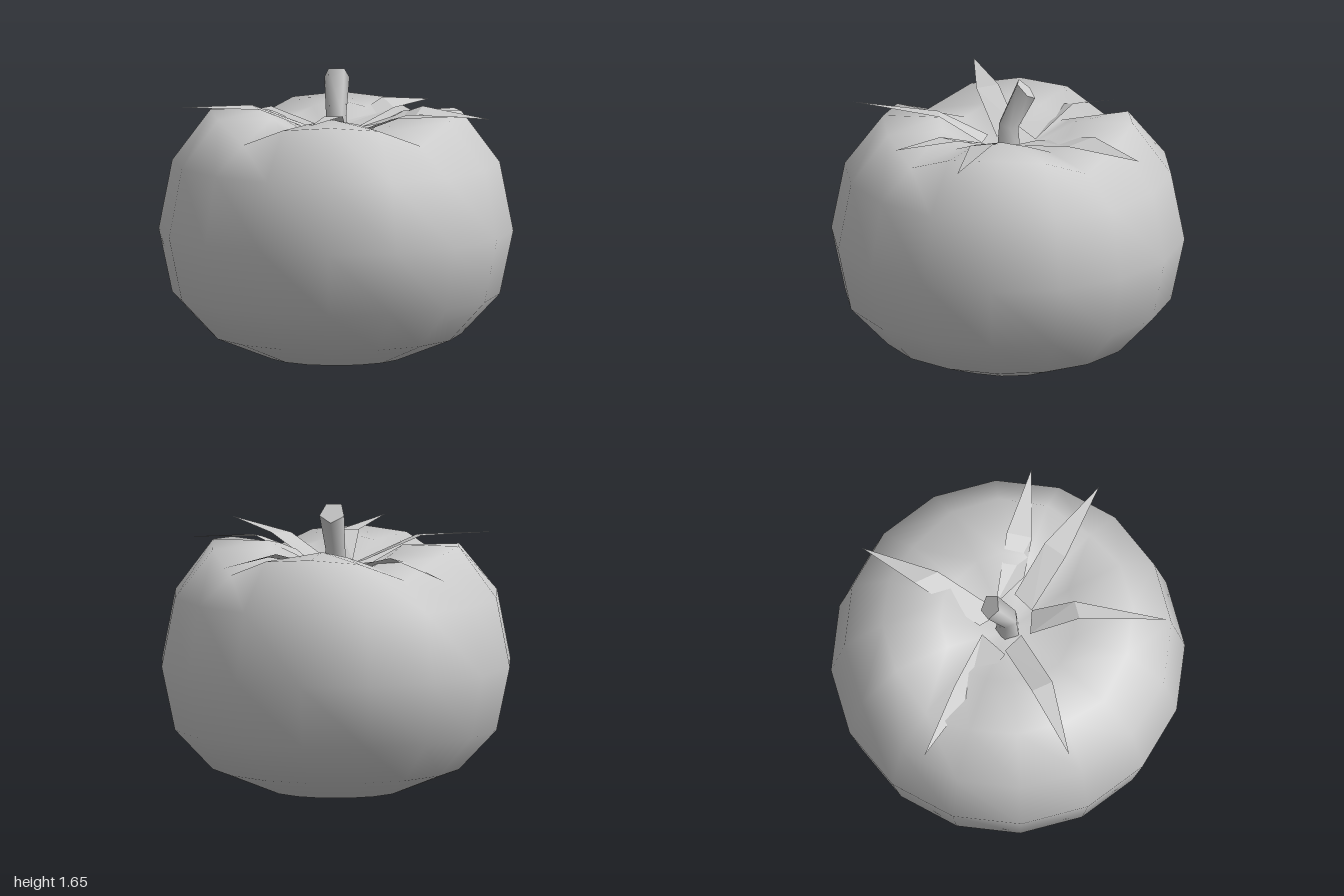
import * as THREE from 'three';
import { mergeVertices } from 'three/addons/utils/BufferGeometryUtils.js';

const mat = new THREE.MeshStandardMaterial({ color: 0xcccccc });
const leafMat = new THREE.MeshStandardMaterial({ color: 0xcccccc, side: THREE.DoubleSide, flatShading: true });

// Share vertices across seams so the shading is smooth
function smooth(geo) {
  geo.deleteAttribute('uv');
  geo.deleteAttribute('normal');
  const merged = mergeVertices(geo, 1e-4);
  merged.computeVertexNormals();
  return merged;
}

// Round fruit: low-poly sphere with ring heights, four lobes and a dimple on top
function makeBody() {
  const heights = [1.2, 1.43, 1.43, 1.14, 0.75, 0.39, 0.16, 0.03, 0.005];
  const geo = new THREE.SphereGeometry(1, 16, 8);
  const p = geo.attributes.position;
  for (let i = 0; i < p.count; i++) {
    const ring = Math.floor(i / 17);
    const s = Math.abs(Math.sin(2 * Math.atan2(p.getZ(i), p.getX(i))));
    let y = heights[ring];
    if (ring === 1) y -= 0.09 * s ** 3;
    if (ring === 2) y -= 0.13 * s ** 5;
    p.setY(i, y);
  }
  return new THREE.Mesh(smooth(geo), mat);
}

// Five-sided stem, bending backwards, with a flat cut end
function makeStem() {
  const rings = [ // y, z, radius, tilt
    [1.18, 0.0, 0.075, 0], [1.4, 0.0, 0.06, 0.25], [1.615, -0.1, 0.075, 0.78],
  ];
  const at = ([y, z, r, tilt], k) => {
    const a = (k / 5) * Math.PI * 2;
    const v = -r * Math.cos(a);
    return new THREE.Vector3(r * Math.sin(a), y + v * Math.sin(tilt), z + v * Math.cos(tilt));
  };
  const sides = [];
  for (let j = 0; j < 2; j++) {
    for (let k = 0; k < 5; k++) {
      const a = at(rings[j], k), b = at(rings[j], k + 1);
      const c = at(rings[j + 1], k + 1), d = at(rings[j + 1], k);
      sides.push(a, c, b, a, d, c);
    }
  }
  const cap = [];
  for (let k = 1; k < 4; k++) cap.push(at(rings[2], 0), at(rings[2], k + 1), at(rings[2], k));
  const group = new THREE.Group();
  const side = mergeVertices(new THREE.BufferGeometry().setFromPoints(sides), 1e-4);
  side.computeVertexNormals();
  const end = new THREE.BufferGeometry().setFromPoints(cap);
  end.computeVertexNormals();
  const sideMesh = new THREE.Mesh(side, mat);
  sideMesh.name = 'stemSide';
  const endMesh = new THREE.Mesh(end, mat);
  endMesh.name = 'stemEnd';
  group.add(sideMesh, endMesh);
  return group;
}

// Leaf blade: two base, two middle corners and a tip
function makeLeaf(points) {
  const geo = new THREE.BufferGeometry().setFromPoints(points.map((q) => new THREE.Vector3(...q)));
  geo.setIndex([0, 1, 3, 0, 3, 2, 2, 3, 4]);
  geo.computeVertexNormals();
  return new THREE.Mesh(geo, leafMat);
}

const leaves = [
  [[0.0, 1.31, -0.16], [0.07, 1.3, -0.03], [0.24, 1.43, -0.51], [0.31, 1.39, -0.37], [0.49, 1.38, -0.79]],
  [[-0.05, 1.3, -0.15], [-0.19, 1.33, -0.03], [-0.38, 1.4, -0.33], [-0.46, 1.37, -0.27], [-0.75, 1.3, -0.53]],
  [[-0.17, 1.34, -0.03], [-0.07, 1.3, 0.07], [-0.47, 1.47, 0.1], [-0.42, 1.46, 0.22], [-0.87, 1.48, 0.28]],
  [[-0.07, 1.31, 0.12], [0.07, 1.31, 0.14], [-0.05, 1.45, 0.4], [0.055, 1.45, 0.38], [-0.1, 1.47, 0.89]],
  [[0.07, 1.31, 0.14], [0.17, 1.32, 0.05], [0.33, 1.43, 0.35], [0.42, 1.44, 0.24], [0.72, 1.48, 0.57]],
  [[0.12, 1.32, -0.06], [0.25, 1.37, 0.11], [0.49, 1.46, 0.03], [0.46, 1.43, 0.17], [0.88, 1.41, 0.2]],
];

export function createModel() {
  const model = new THREE.Group();
  const body = makeBody();
  body.name = 'fruitBody';
  const stem = makeStem();
  stem.name = 'stem';
  model.add(body, stem);

  const crown = new THREE.Group();
  crown.name = 'leafCrown';
  leaves.forEach((pts, i) => {
    const leaf = makeLeaf(pts);
    leaf.name = `leaf${i + 1}`;
    crown.add(leaf);
  });
  model.add(crown);
  return model;
}
